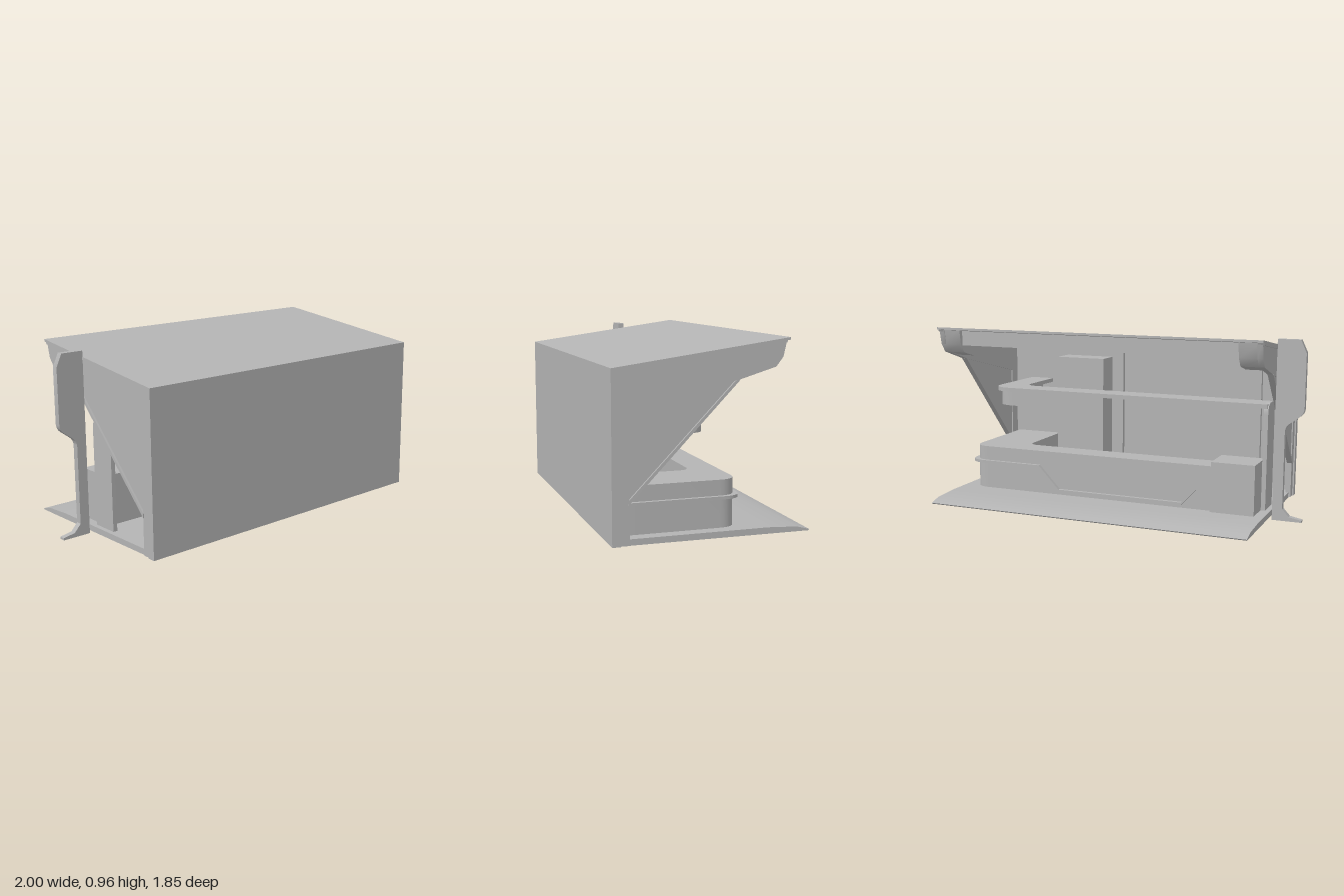
import * as THREE from 'three';
import { toCreasedNormals } from 'three/addons/utils/BufferGeometryUtils.js';

// Local axes: x runs along the stall, y is up, depth d runs from the closed wall to the open side (-z).
const LENGTH = 1.78, DEPTH = 0.87, WALL_TOP = 0.828, ROOF_BACK = 0.946;
const roofY = d => WALL_TOP + (ROOF_BACK - WALL_TOP) * d / DEPTH;

export function createModel() {
  const model = new THREE.Group();
  const stall = new THREE.Group();
  stall.name = 'stall';
  const grey = new THREE.MeshStandardMaterial({ color: 0xb4b4b4 });
  grey.name = 'plain grey';

  const add = (name, geometry) => {
    const mesh = new THREE.Mesh(geometry, grey);
    mesh.name = name;
    stall.add(mesh);
    return mesh;
  };
  // Polygon whose optional third value rounds that corner by a radius
  const outline = pts => {
    const shape = new THREE.Shape();
    const n = pts.length;
    const toward = (p, q, r) => {
      const l = Math.hypot(q[0] - p[0], q[1] - p[1]);
      return [p[0] + (q[0] - p[0]) * r / l, p[1] + (q[1] - p[1]) * r / l];
    };
    pts.forEach((p, i) => {
      const r = p[2] || 0;
      const a = toward(p, pts[(i + n - 1) % n], r), b = toward(p, pts[(i + 1) % n], r);
      if (i === 0) shape.moveTo(a[0], a[1]); else shape.lineTo(a[0], a[1]);
      if (r) shape.quadraticCurveTo(p[0], p[1], b[0], b[1]);
    });
    shape.closePath();
    return shape;
  };
  const extrude = (pts, depth) => toCreasedNormals(
    new THREE.ExtrudeGeometry(outline(pts), { depth, bevelEnabled: false, curveSegments: 8 }), 0.5);
  // Plan outline (x, d) raised from y0 to y1
  const plan = (name, pts, y0, y1) =>
    add(name, extrude(pts, y1 - y0).rotateX(-Math.PI / 2).translate(0, y0, 0));
  // Side outline (d, y) spanning x0 to x1
  const side = (name, pts, x0, x1) =>
    add(name, extrude(pts, x1 - x0).rotateY(Math.PI / 2).translate(x0, 0, 0));
  // Front outline (x, y) spanning d0 to d1
  const face = (name, pts, d0, d1) =>
    add(name, extrude(pts, d1 - d0).translate(0, 0, -d1));
  const box = (name, x0, x1, y0, y1, d0, d1) =>
    add(name, new THREE.BoxGeometry(x1 - x0, y1 - y0, d1 - d0)
      .translate((x0 + x1) / 2, (y0 + y1) / 2, -(d0 + d1) / 2));

  // Shell: closed wall, sloping roof, and floor with a tapered step
  box('closedWall', 0, LENGTH, 0.012, WALL_TOP - 0.004, 0, 0.02);
  side('roof', [[0, WALL_TOP - 0.012], [DEPTH, ROOF_BACK - 0.012], [DEPTH, ROOF_BACK], [0, WALL_TOP]], 0, LENGTH);
  side('floor', [[0.01, 0.008], [0.99, 0.006], [0.995, 0.012], [0.93, 0.03], [0.78, 0.038], [0.01, 0.038]],
    0.02, LENGTH - 0.025);

  // Side frames, mirrored at both ends
  const ends = (name, pts, inset, thick) => {
    side(name, pts, inset, inset + thick);
    side(name, pts, LENGTH - inset - thick, LENGTH - inset);
  };
  ends('cornerPost', [[0, 0.012], [0.04, 0.012], [0.04, roofY(0.04) - 0.004], [0, WALL_TOP - 0.004]], 0, 0.035);
  ends('innerPost', [[0.03, 0.012], [0.085, 0.012], [0.085, 0.7], [0.03, 0.7]], 0.008, 0.027);
  ends('sideBand', [[0.03, 0.63], [0.08, 0.635], [0.615, 0.755], [0.8, 0.81], [0.835, 0.855],
    [0.855, roofY(0.855) - 0.004], [0.03, roofY(0.03) - 0.004]], 0.006, 0.029);
  ends('roofRim', [[0.03, roofY(0.03) - 0.028], [0.85, roofY(0.85) - 0.022], [0.86, roofY(0.86) - 0.003],
    [0.03, roofY(0.03) - 0.003]], 0, 0.03);
  ends('triangularPanel', [[0.08, 0.2], [0.62, 0.757], [0.08, 0.64]], 0.014, 0.016);
  ends('diagonalTrim', [[0.08, 0.2], [0.622, 0.757], [0.602, 0.757], [0.08, 0.222]], 0.004, 0.03);

  // Fascia under the open edge of the roof, with a block at each corner
  box('roofFascia', 0.03, LENGTH - 0.03, 0.85, 0.93, 0.8, 0.82);
  for (const x of [0.006, LENGTH - 0.126]) {
    side('cornerBlock', [[0.7, 0.785], [0.8, 0.81], [0.835, 0.855], [0.85, 0.938], [0.7, 0.918]], x, x + 0.12);
  }

  // Service counter: a long bar with a return at the far end
  const counterPlan = (grow, end) => [[end, 0.5], [1.42, 0.5, 0.06], [1.42, 0.09], [1.69 + grow, 0.09],
    [1.69 + grow, 0.645 + grow, 0.09], [end, 0.645 + grow]];
  plan('counter', counterPlan(0, 0.07), 0.036, 0.272);
  plan('counterTrim', counterPlan(0.02, 1.28), 0.18, 0.195);
  const dip = [[1.28, 0.18], [1.16, 0.055], [0.46, 0.055], [0.3, 0.23]];
  face('counterTrimDip', [...dip, ...dip.map(([x, y]) => [x, y + 0.015]).reverse()], 0.64, 0.665);
  box('counterBlock', 0.07, 0.3, 0.036, 0.3, 0.47, 0.67);

  // High shelf wrapping the far corner, a valance below it, and its upright
  plan('highShelf', [[0.05, 0.39], [1.5, 0.39, 0.08], [1.5, 0.02], [1.64, 0.02], [1.64, 0.53, 0.12], [0.05, 0.53]],
    0.57, 0.592);
  plan('shelfValance', [[1.04, 0.45], [1.54, 0.45, 0.06], [1.54, 0.08], [1.62, 0.08], [1.62, 0.515, 0.11],
    [1.0, 0.515]], 0.49, 0.57);
  side('shelfUpright', [[0.385, 0.036], [0.53, 0.036], [0.53, 0.597, 0.06], [0.385, 0.597, 0.06]], 0.045, 0.068);

  // Cabinet and battens on the inside of the closed wall
  box('tallCabinet', 1.11, 1.4, 0.036, 0.74, 0.02, 0.16);
  for (const x of [0.2, 1.03]) box('wallBatten', x, x + 0.035, 0.036, 0.83, 0.02, 0.045);

  // Standing bracket outside one end
  face('endBracket', [[0.002, 0.003], [-0.15, 0.003], [-0.15, 0.014], [-0.085, 0.026], [-0.05, 0.065], [-0.05, 0.49, 0.03],
    [-0.145, 0.56, 0.03], [-0.145, 0.865], [-0.115, 0.93], [0.002, 0.93]], 0.53, 0.562);

  // The stall stands turned, with a very slight lean along its length
  stall.rotation.set(0, Math.atan2(0.6, 0.8), 0.009);
  stall.position.set(-0.422, 0, 0.922);
  model.add(stall);
  return model;
}
